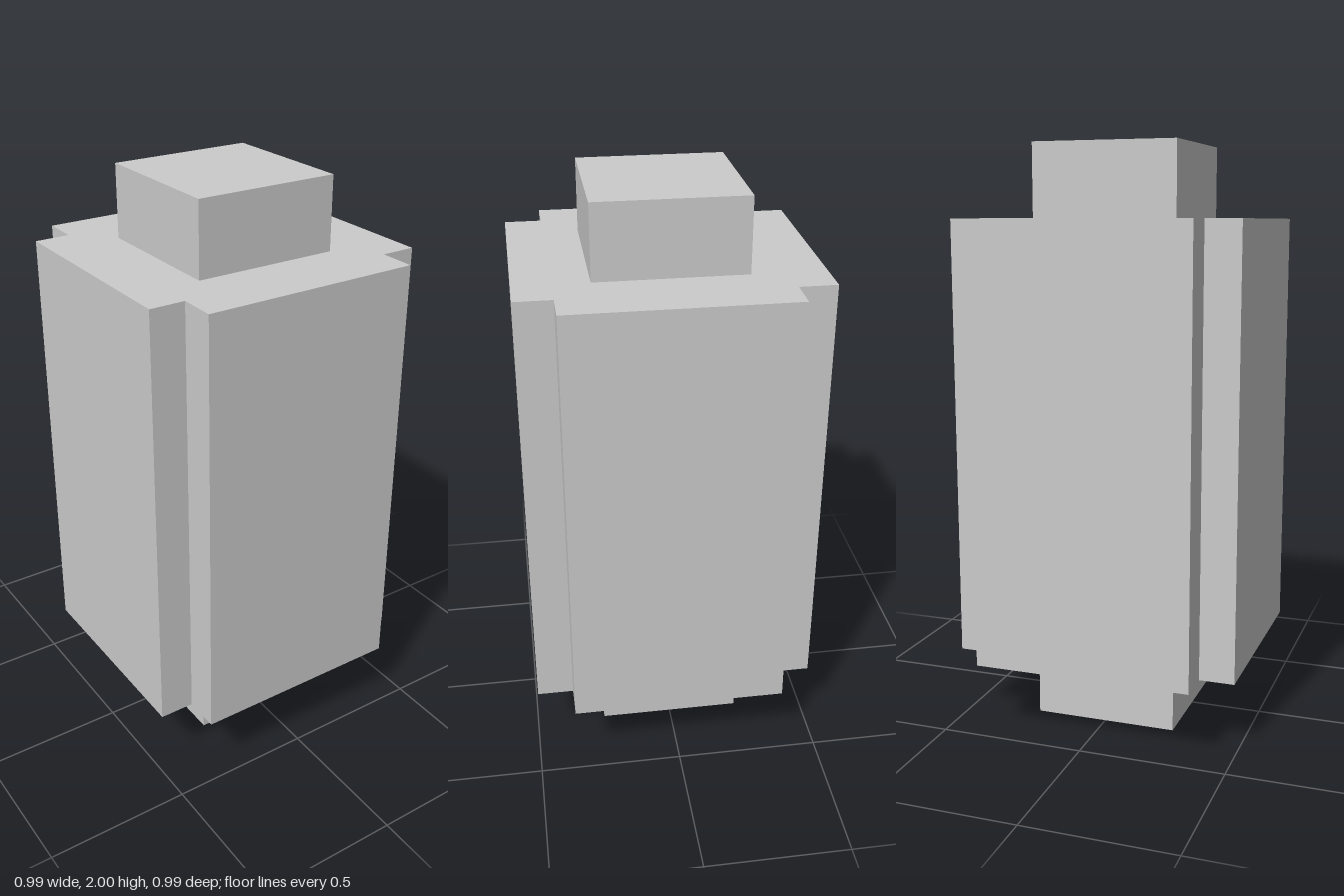
import * as THREE from 'three';

export function createModel() {
  const model = new THREE.Group();
  const material = new THREE.MeshStandardMaterial({ color: 0xcccccc, flatShading: true });

  const add = (name, geometry, y) => {
    const mesh = new THREE.Mesh(geometry, material);
    mesh.name = name;
    mesh.position.y = y;
    model.add(mesh);
  };

  // Main body: a square column with a notch along each vertical edge
  const half = 0.495, notchX = 0.375, notchZ = 0.37;
  const outline = new THREE.Shape([
    [notchX, -half], [notchX, -notchZ], [half, -notchZ],
    [half, notchZ], [notchX, notchZ], [notchX, half],
    [-notchX, half], [-notchX, notchZ], [-half, notchZ],
    [-half, -notchZ], [-notchX, -notchZ], [-notchX, -half],
  ].map(([x, z]) => new THREE.Vector2(x, z)));
  const body = new THREE.ExtrudeGeometry(outline, { depth: 1.5, bevelEnabled: false });
  body.rotateX(-Math.PI / 2);
  add('body', body, 0.25);

  // Square end blocks
  add('bottomBlock', new THREE.BoxGeometry(0.5, 0.25, 0.5), 0.125);
  add('topBlock', new THREE.BoxGeometry(0.5, 0.25, 0.5), 1.875);

  return model;
}
